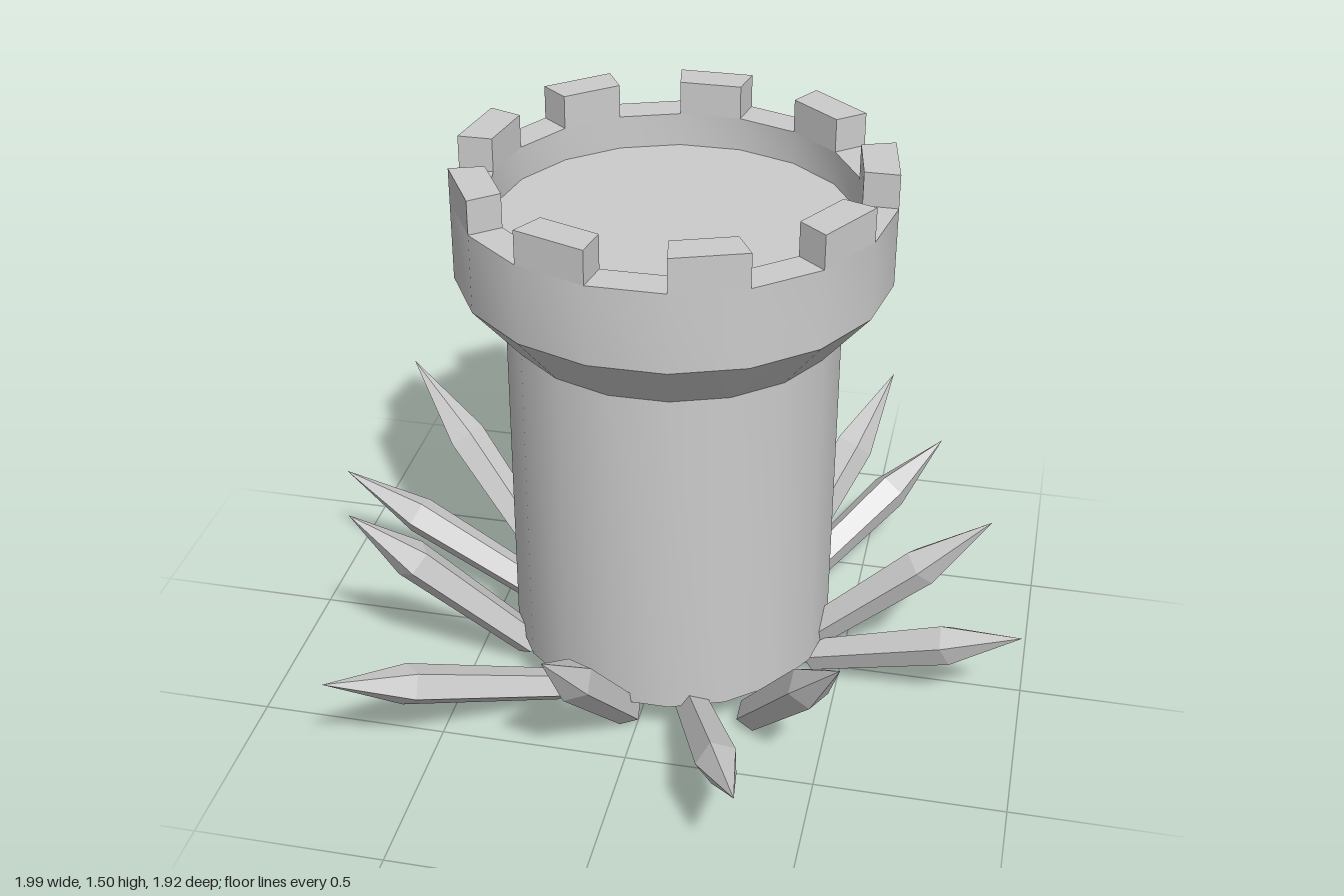
import * as THREE from 'three';
import { toCreasedNormals } from 'three/addons/utils/BufferGeometryUtils.js';

const SIDES = 18;
const STEP = (Math.PI * 2) / SIDES;
const OUTER = 0.56, INNER = 0.47;
const CRENEL_Y = 1.41, TOP_Y = 1.5;

// Crystals: [base x, y, z, tip x, y, z]
const CRYSTALS = [
  [-0.10, 0.05, -0.36, -0.31, 0.33, -0.96],
  [-0.06, 0.05, -0.35, -0.19, 0.565, -0.88],
  [0.30, 0.04, -0.27, 0.69, 0.30, -0.77],
  [0.27, 0.06, -0.26, 0.54, 0.565, -0.68],
  [0.36, 0.06, 0.00, 0.88, 0.535, -0.01],
  [0.42, 0.05, 0.02, 0.99, 0.29, 0.15],
  [0.30, 0.03, 0.29, 0.57, 0.50, 0.65],
  [0.14, 0.07, 0.32, 0.37, 0.33, 0.96],
  [-0.03, 0.04, 0.35, -0.13, 0.53, 0.81],
  [-0.22, 0.06, 0.31, -0.71, 0.345, 0.78],
  [-0.35, 0.07, 0.15, -0.77, 0.57, 0.36],
  [-0.32, 0.04, -0.08, -1.00, 0.31, -0.22],
  [-0.33, 0.06, -0.15, -0.82, 0.62, -0.37],
];

function createTower(material) {
  const tower = new THREE.Group();
  tower.name = 'tower';

  // Hollow shaft, flared collar, parapet wall and recessed floor
  const profile = [
    [0.435, 0.11], [0.435, 1.05], [OUTER, 1.2], [OUTER, CRENEL_Y],
    [INNER, CRENEL_Y], [INNER, 1.32], [0, 1.32],
  ].map(([r, y]) => new THREE.Vector2(r, y));
  const lathe = new THREE.LatheGeometry(profile, SIDES, STEP / 2);
  const shell = new THREE.Mesh(toCreasedNormals(lathe, 0.5), material);
  shell.name = 'towerShell';
  tower.add(shell);

  // Battlements on every other side of the parapet
  const at = (r, a) => new THREE.Vector2(r * Math.cos(a), r * Math.sin(a));
  const outline = new THREE.Shape([at(INNER, 0), at(OUTER, 0), at(OUTER, STEP), at(INNER, STEP)]);
  const block = new THREE.ExtrudeGeometry(outline, { depth: TOP_Y - CRENEL_Y, bevelEnabled: false });
  block.rotateX(-Math.PI / 2);
  for (let i = 0; i < SIDES; i += 2) {
    const merlon = new THREE.Mesh(block, material);
    merlon.name = 'merlon';
    merlon.position.y = CRENEL_Y;
    merlon.rotation.y = i * STEP;
    tower.add(merlon);
  }

  tower.position.set(0.02, 0, -0.025);
  return tower;
}

// Five-sided shard that widens to a shoulder and ends in a point
function createCrystal([bx, by, bz, tx, ty, tz], index, material) {
  const base = new THREE.Vector3(bx, by, bz);
  const axis = new THREE.Vector3(tx, ty, tz).sub(base);
  const length = axis.length();
  const profile = [[0, 0], [0.045, 0], [0.056, length * 0.66], [0, length]]
    .map(([r, y]) => new THREE.Vector2(r, y));
  const geometry = new THREE.LatheGeometry(profile, 5, index * 0.9);
  const crystal = new THREE.Mesh(geometry, material);
  crystal.name = 'crystal';
  crystal.position.copy(base);
  crystal.quaternion.setFromUnitVectors(new THREE.Vector3(0, 1, 0), axis.normalize());
  return crystal;
}

export function createModel() {
  const model = new THREE.Group();
  model.name = 'crystalTower';
  const stone = new THREE.MeshStandardMaterial({ color: 0xcccccc, side: THREE.DoubleSide });
  const facet = new THREE.MeshStandardMaterial({ color: 0xcccccc, flatShading: true });

  model.add(createTower(stone));

  const crystals = new THREE.Group();
  crystals.name = 'crystals';
  CRYSTALS.forEach((c, i) => crystals.add(createCrystal(c, i, facet)));
  model.add(crystals);
  return model;
}
